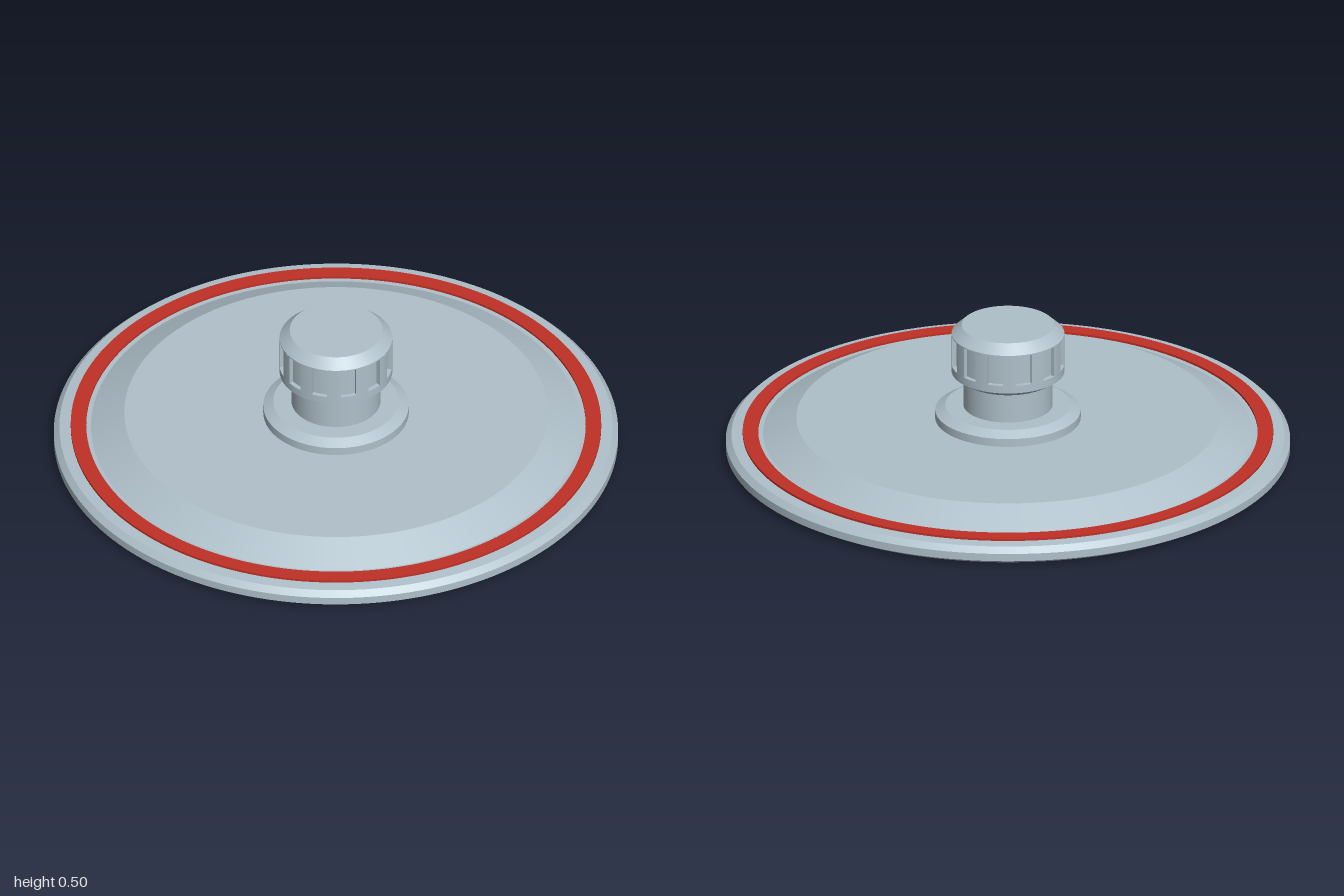
import * as THREE from 'three';
import { toCreasedNormals } from 'three/addons/utils/BufferGeometryUtils.js';

const metal = new THREE.MeshStandardMaterial({ color: 0xafc0ca });
metal.name = 'paleSteel';
const red = new THREE.MeshStandardMaterial({ color: 0xc03025 });
red.name = 'sealRed';

// Turned part from [radius, height] pairs, bottom outwards then up
function turned(name, profile, material, segments = 128) {
  const points = profile.map(([r, y]) => new THREE.Vector2(r, y));
  const geometry = toCreasedNormals(new THREE.LatheGeometry(points, segments), 0.2);
  const mesh = new THREE.Mesh(geometry, material);
  mesh.name = name;
  return mesh;
}

// Knob grip: a disc with evenly spaced rectangular notches
function notchedGrip(radius, depth, halfWidth, count, y0, y1) {
  const shape = new THREE.Shape();
  const half = Math.asin(halfWidth / radius);
  const innerRadius = radius - depth;
  const innerHalf = Math.asin(halfWidth / innerRadius);
  const pitch = (Math.PI * 2) / count;
  const points = [];
  const add = (r, a) => points.push(new THREE.Vector2(r * Math.cos(a), r * Math.sin(a)));
  for (let i = 0; i < count; i++) {
    const a = i * pitch;
    add(radius, a - half);
    for (let k = 0; k <= 4; k++) add(innerRadius, a - innerHalf + (k / 4) * 2 * innerHalf);
    for (let k = 0; k < 6; k++) add(radius, a + half + (k / 6) * (pitch - 2 * half));
  }
  shape.setFromPoints(points);
  const geometry = new THREE.ExtrudeGeometry(shape, { depth: y1 - y0, bevelEnabled: false });
  geometry.rotateX(-Math.PI / 2);
  geometry.translate(0, y0, 0);
  const mesh = new THREE.Mesh(toCreasedNormals(geometry, 0.3), metal);
  mesh.name = 'knobGrip';
  return mesh;
}

export function createModel() {
  const lid = new THREE.Group();
  lid.name = 'lid';

  // Hollow lid with a central hole, sloped dome and bevelled rim
  lid.add(turned('lidBody', [
    [0.14, 0.135], [0.14, 0.077], [0.74, 0.077], [0.96, 0],
    [1, 0.022], [1, 0.05], [0.98, 0.07], [0.94, 0.074], [0.94, 0.062],
    [0.885, 0.062], [0.885, 0.074], [0.868, 0.074], [0.75, 0.135], [0.14, 0.135],
  ], metal, 160));

  // Sealing ring set into the rim
  lid.add(turned('sealRing', [
    [0.885, 0.062], [0.94, 0.062], [0.94, 0.082], [0.885, 0.082], [0.885, 0.062],
  ], red, 160));

  // Handle
  const handle = new THREE.Group();
  handle.name = 'handle';
  handle.add(turned('handleBase', [
    [0, 0.155], [0.14, 0.155], [0.14, 0.135], [0.258, 0.135],
    [0.258, 0.165], [0.222, 0.185], [0.15, 0.185],
  ], metal, 72));
  handle.add(turned('neck', [[0.158, 0.18], [0.158, 0.3]], metal, 72));
  handle.add(turned('knobCollar', [
    [0, 0.295], [0.168, 0.295], [0.2, 0.316], [0.2, 0.345], [0, 0.345],
  ], metal, 72));
  handle.add(notchedGrip(0.2, 0.016, 0.028, 12, 0.345, 0.458));
  handle.add(turned('knobCap', [
    [0, 0.458], [0.2, 0.458], [0.2, 0.462], [0.164, 0.495], [0, 0.495],
  ], metal, 72));
  lid.add(handle);

  return lid;
}
